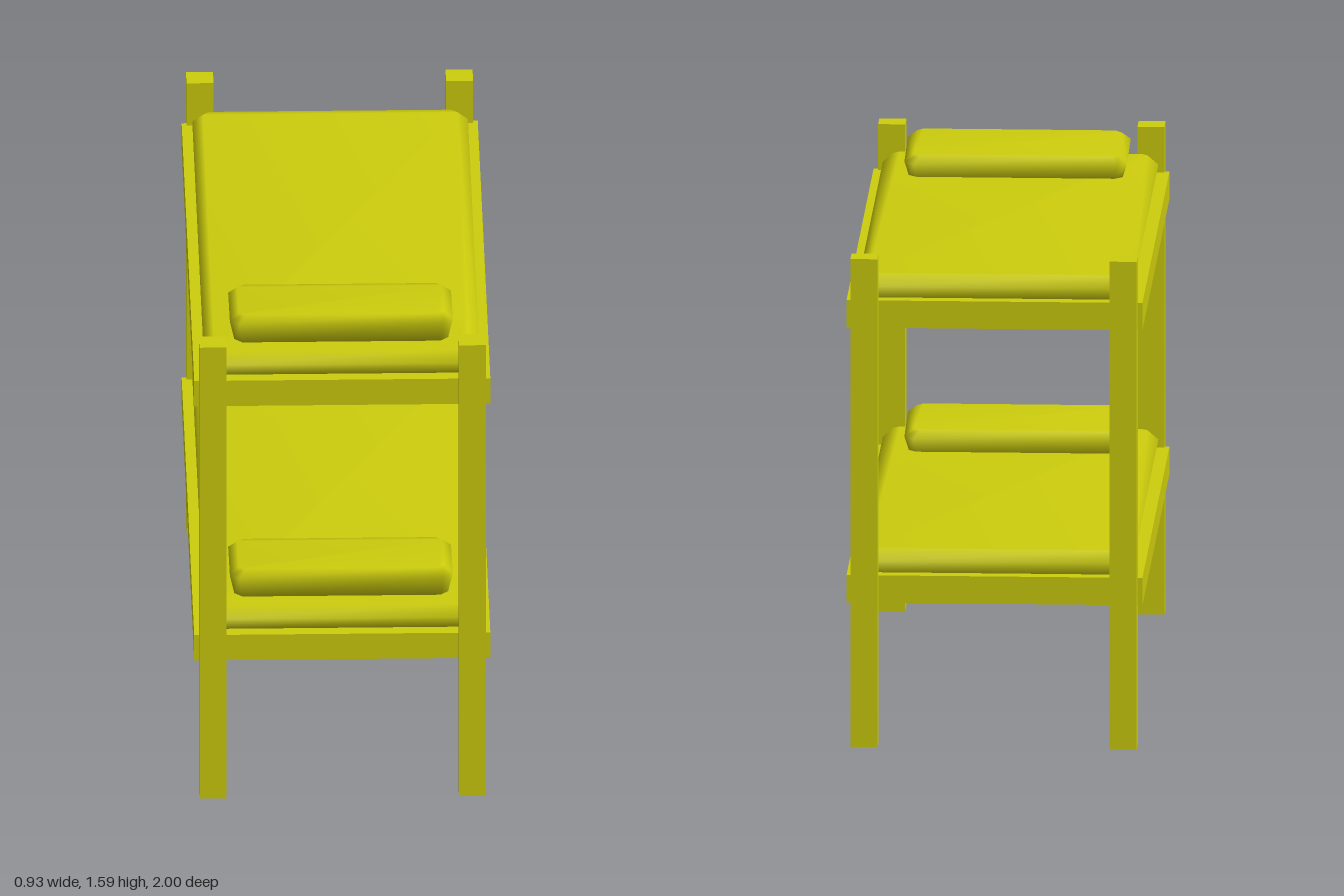
import * as THREE from 'three';

const yellow = new THREE.MeshStandardMaterial({ color: 0xcccc0d });
yellow.name = 'yellow';

function box(name, w, h, d, x, y, z) {
  const mesh = new THREE.Mesh(new THREE.BoxGeometry(w, h, d), yellow);
  mesh.name = name;
  mesh.position.set(x, y, z);
  return mesh;
}

// Soft cushion: stacked rectangles with cut corners, smooth normals.
// Each layer is [halfWidth, z0, z1, y at z0, y at z1, corner cut].
function cushion(name, layers) {
  const pos = [], index = [];
  for (const [w, z0, z1, y0, y1, c] of layers) {
    const ring = [
      [w, z0 + c], [w, z1 - c], [w - c, z1], [c - w, z1],
      [-w, z1 - c], [-w, z0 + c], [c - w, z0], [w - c, z0],
    ];
    for (const [x, z] of ring) pos.push(x, y0 + (y1 - y0) * (z - z0) / (z1 - z0), z);
  }
  for (let l = 0; l < layers.length - 1; l++) {
    for (let i = 0; i < 8; i++) {
      const a = l * 8 + i, b = l * 8 + (i + 1) % 8;
      index.push(a, a + 8, b, b, a + 8, b + 8);
    }
  }
  // Top and bottom caps
  const t = (layers.length - 1) * 8;
  for (let i = 1; i < 7; i++) {
    index.push(t, t + i + 1, t + i);
    index.push(0, i, i + 1);
  }
  const geo = new THREE.BufferGeometry();
  geo.setAttribute('position', new THREE.Float32BufferAttribute(pos, 3));
  geo.setIndex(index);
  // Fix the winding so every face points outwards
  const p = geo.attributes.position;
  const a = new THREE.Vector3().fromBufferAttribute(p, t);
  const b = new THREE.Vector3().fromBufferAttribute(p, t + 2);
  const d = new THREE.Vector3().fromBufferAttribute(p, t + 1);
  if (b.sub(a).cross(d.sub(a)).y < 0) geo.setIndex(index.reverse());
  geo.computeVertexNormals();
  const mesh = new THREE.Mesh(geo, yellow);
  mesh.name = name;
  return mesh;
}

export function createModel() {
  const model = new THREE.Group();
  model.name = 'bunkBed';

  // Corner posts
  for (const x of [-1, 1]) {
    for (const z of [-1, 1]) {
      model.add(box('post', 0.085, 1.57, 0.082, x * 0.4075, 0.785, z * 0.959));
    }
  }

  // Two identical bunks, built from the underside of the base
  for (const [name, y] of [['lowerBunk', 0.45], ['upperBunk', 1.335]]) {
    const bunk = new THREE.Group();
    bunk.name = name;
    bunk.position.y = y;
    bunk.add(box('bedBase', 0.93, 0.088, 1.87, 0, 0.044, 0));
    bunk.add(cushion('mattress', [
      [0.42, -0.89, 0.89, 0.085, 0.085, 0.03],
      [0.433, -0.9, 0.9, 0.125, 0.125, 0.03],
      [0.4, -0.868, 0.868, 0.159, 0.159, 0.02],
    ]));
    bunk.add(cushion('pillow', [
      [0.335, 0.512, 0.805, 0.155, 0.155, 0.025],
      [0.35, 0.505, 0.82, 0.2, 0.228, 0.03],
      [0.322, 0.525, 0.797, 0.225, 0.25, 0.02],
    ]));
    model.add(bunk);
  }
  return model;
}
